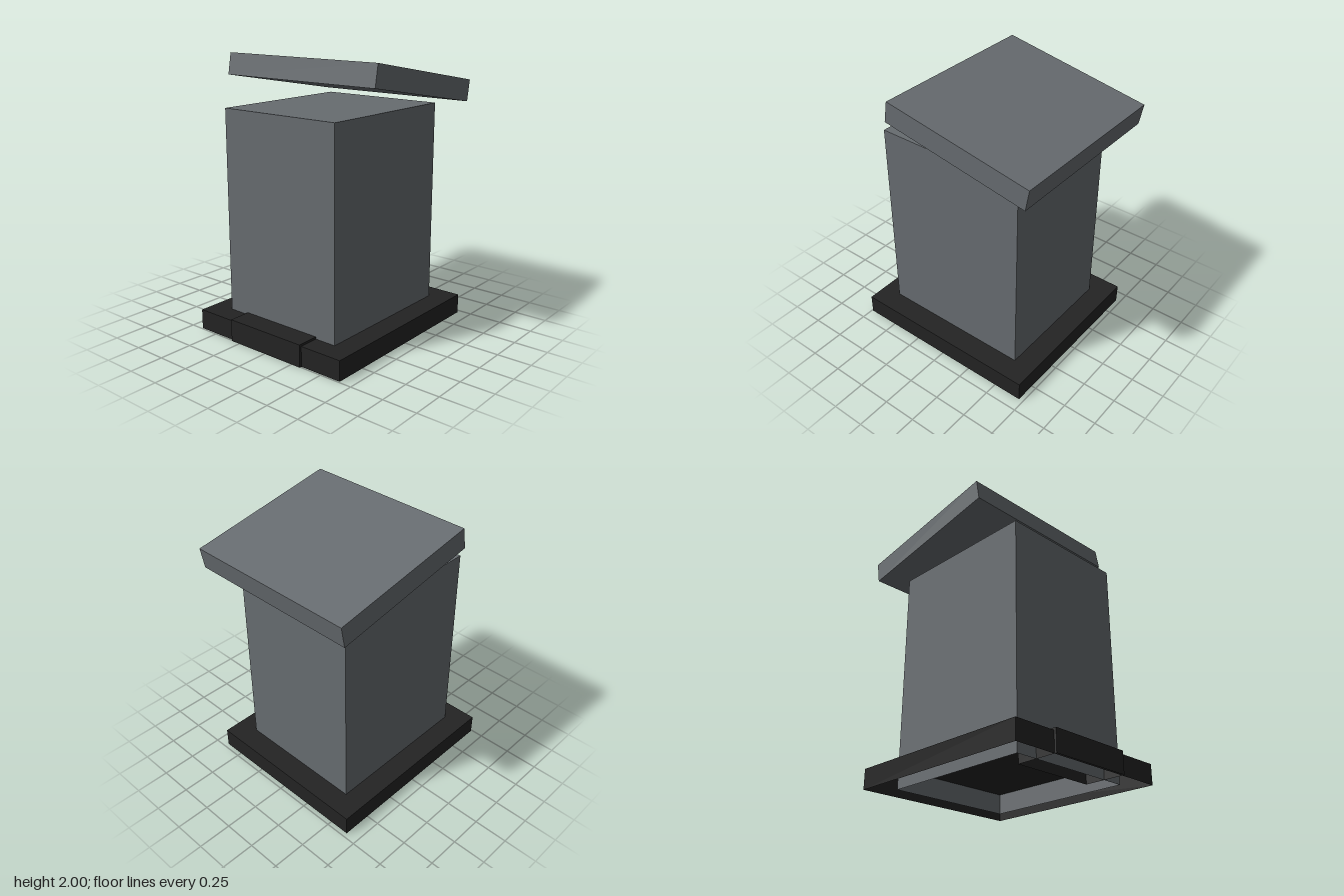
import * as THREE from 'three';

const grey = new THREE.MeshStandardMaterial({ color: 0x676c70, side: THREE.DoubleSide });
grey.name = 'slate grey';
const dark = new THREE.MeshStandardMaterial({ color: 0x232323, side: THREE.DoubleSide });
dark.name = 'charcoal';

// Box standing on y = 0, running from z0 to z1, open underneath
function openBox(name, width, height, z0, z1, material) {
  const geometry = new THREE.BoxGeometry(width, height, z1 - z0);
  const index = Array.from(geometry.index.array);
  index.splice(18, 6); // the bottom face
  geometry.setIndex(index);
  geometry.clearGroups();
  geometry.translate(0, height / 2, (z0 + z1) / 2);
  const mesh = new THREE.Mesh(geometry, material);
  mesh.name = name;
  return mesh;
}

export function createModel() {
  const group = new THREE.Group();
  group.name = 'lectern';

  // Plinth, front step and hollow pedestal
  group.add(openBox('base', 1.306, 0.147, -0.716, 0.74, dark));
  group.add(openBox('frontStep', 0.65, 0.163, 0.44, 0.757, dark));
  group.add(openBox('pedestal', 0.98, 1.64, -0.553, 0.592, grey));

  // Slanted top, high at the front
  const top = new THREE.Mesh(new THREE.BoxGeometry(1.306, 0.158, 1.143), grey);
  top.name = 'slantedTop';
  top.position.set(0, 1.8225, -0.178);
  top.rotation.x = -Math.PI / 18;
  group.add(top);

  return group;
}
